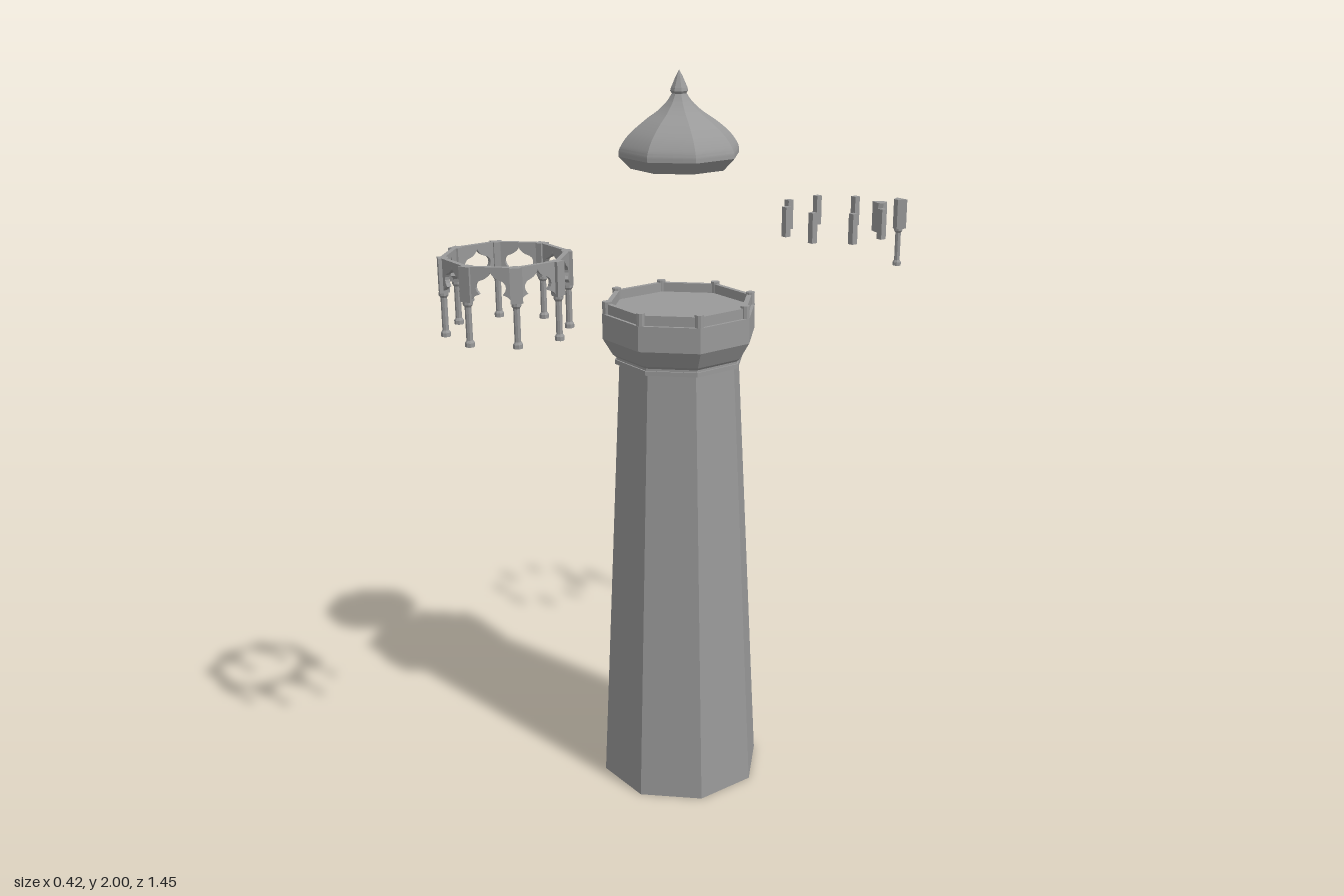
import * as THREE from 'three';
import { toCreasedNormals } from 'three/addons/utils/BufferGeometryUtils.js';

const flat = new THREE.MeshStandardMaterial({ color: 0x999999, flatShading: true, side: THREE.DoubleSide });
const smooth = new THREE.MeshStandardMaterial({ color: 0x999999, side: THREE.DoubleSide });
const STEP = Math.PI / 4;
const toCorner = 1 / Math.cos(Math.PI / 8);

function add(parent, name, geometry, x = 0, y = 0, z = 0, material = flat) {
  const mesh = new THREE.Mesh(geometry, material);
  mesh.name = name;
  mesh.position.set(x, y, z);
  parent.add(mesh);
}

function addGroup(parent, name, x = 0, y = 0, z = 0) {
  const group = new THREE.Group();
  group.name = name;
  group.position.set(x, y, z);
  parent.add(group);
  return group;
}

// Eight-sided solid with flat sides to the front; profile is [apothem, y]
function octagon(profile) {
  const points = profile.map(([a, y]) => new THREE.Vector2(a * toCorner, y));
  return new THREE.LatheGeometry(points, 8, Math.PI / 8);
}

// Upright prism from an outline of [x, z] points
function prism(outline, y0, y1) {
  const shape = new THREE.Shape(outline.map(([x, z]) => new THREE.Vector2(x, -z)));
  const geometry = new THREE.ExtrudeGeometry(shape, { depth: y1 - y0, bevelEnabled: false });
  return geometry.rotateX(-Math.PI / 2).translate(0, y0, 0);
}

// Slender column with a wedge block of half width w on top; +z points outward
function column(parent, name, w) {
  const group = addGroup(parent, name);
  add(group, 'columnBlock', prism([[-w, 0.01], [w, 0.01], [0.008, -0.015], [-0.008, -0.015]], 1.51, 1.595));
  add(group, 'columnShaft', new THREE.LatheGeometry([
    [0, 1.4], [0.012, 1.4], [0.012, 1.41], [0.008, 1.416], [0.008, 1.497], [0.012, 1.503], [0.012, 1.51],
  ].map(([r, y]) => new THREE.Vector2(r, y)), 8));
  return group;
}

// Thin wall panel cut by a pointed horseshoe arch
function archPanel() {
  const s = new THREE.Shape();
  s.moveTo(-0.06, 1.595);
  s.lineTo(-0.06, 1.505);
  s.lineTo(-0.052, 1.505);
  s.quadraticCurveTo(-0.048, 1.524, -0.028, 1.529);
  s.bezierCurveTo(-0.044, 1.545, -0.036, 1.561, -0.02, 1.564);
  s.quadraticCurveTo(-0.006, 1.569, 0, 1.583);
  s.quadraticCurveTo(0.006, 1.569, 0.02, 1.564);
  s.bezierCurveTo(0.036, 1.561, 0.044, 1.545, 0.028, 1.529);
  s.quadraticCurveTo(0.048, 1.524, 0.052, 1.505);
  s.lineTo(0.06, 1.505);
  s.lineTo(0.06, 1.595);
  return new THREE.ExtrudeGeometry(s, { depth: 0.012, bevelEnabled: false, curveSegments: 6 });
}

export function createModel() {
  const model = new THREE.Group();
  model.name = 'tower';

  // Tapering shaft, open underneath
  const tower = addGroup(model, 'towerBody', 0, 0, 0.045);
  add(tower, 'shaft', octagon([[0.211, 0], [0.154, 1.24]]));

  // Collar ring, flared gallery, low parapet and floor
  add(tower, 'gallery', octagon([
    [0.153, 1.238], [0.165, 1.238], [0.165, 1.25], [0.161, 1.25], [0.161, 1.256], [0.17, 1.264],
    [0.195, 1.31], [0.195, 1.378], [0.187, 1.378], [0.187, 1.405], [0.174, 1.405], [0.174, 1.38], [0, 1.38],
  ]));

  // Round posts at the parapet corners
  for (let i = 0; i < 8; i++) {
    const a = (i + 0.5) * STEP;
    add(tower, 'parapetPost', new THREE.CylinderGeometry(0.012, 0.012, 0.034, 10),
      0.198 * Math.sin(a), 1.394, 0.198 * Math.cos(a));
  }

  // Floating ogee roof with crisp ribs and a finial
  const roof = addGroup(model, 'roof', -0.002, 0, 0.042);
  const curve = new THREE.SplineCurve([
    [0.149, 1.787], [0.146, 1.808], [0.125, 1.84], [0.092, 1.87], [0.058, 1.895], [0.032, 1.92], [0.016, 1.945],
  ].map(([a, y]) => new THREE.Vector2(a, y)));
  const dome = [[0, 1.755], [0.12, 1.755], ...curve.getPoints(24).map((p) => [p.x, p.y])];
  add(roof, 'dome', toCreasedNormals(octagon(dome), 0.3), 0, 0, 0, smooth);
  add(roof, 'finial', octagon([[0.014, 1.935], [0.022, 1.948], [0.02, 1.956], [0.008, 1.985], [0, 2]]));

  // Ring of arches standing in front
  const arcade = addGroup(model, 'arcade', -0.011, 0, 0.567);
  for (let i = 0; i < 8; i++) {
    const side = addGroup(arcade, 'arcadeSide');
    side.rotation.y = i * STEP;
    add(side, 'archPanel', archPanel(), 0, 0, 0.135);
    const a = (i + 0.5) * STEP;
    const post = column(arcade, 'arcadeColumn', 0.015);
    post.position.set(0.153 * Math.sin(a), 0, 0.153 * Math.cos(a));
    post.rotation.y = a;
  }

  // Loose blocks in a ring at the back, with one shaped block
  const blocks = addGroup(model, 'looseBlocks', 0, 0, -0.512);
  for (let i = 0; i < 8; i++) {
    if (i === 3) continue;
    const a = (i + 0.5) * STEP;
    add(blocks, 'looseBlock', new THREE.BoxGeometry(0.018, 0.085, 0.018),
      0.145 * Math.sin(a), 1.552, 0.145 * Math.cos(a));
  }
  add(blocks, 'shapedBlock', prism(
    [[0.046, -0.142], [0.066, -0.142], [0.077, -0.116], [0.067, -0.106], [0.034, -0.116]], 1.51, 1.595));

  // Single spare column behind the blocks
  const spare = column(model, 'spareColumn', 0.021);
  spare.position.set(0.056, 0, -0.715);
  spare.rotation.y = Math.PI;

  return model;
}
